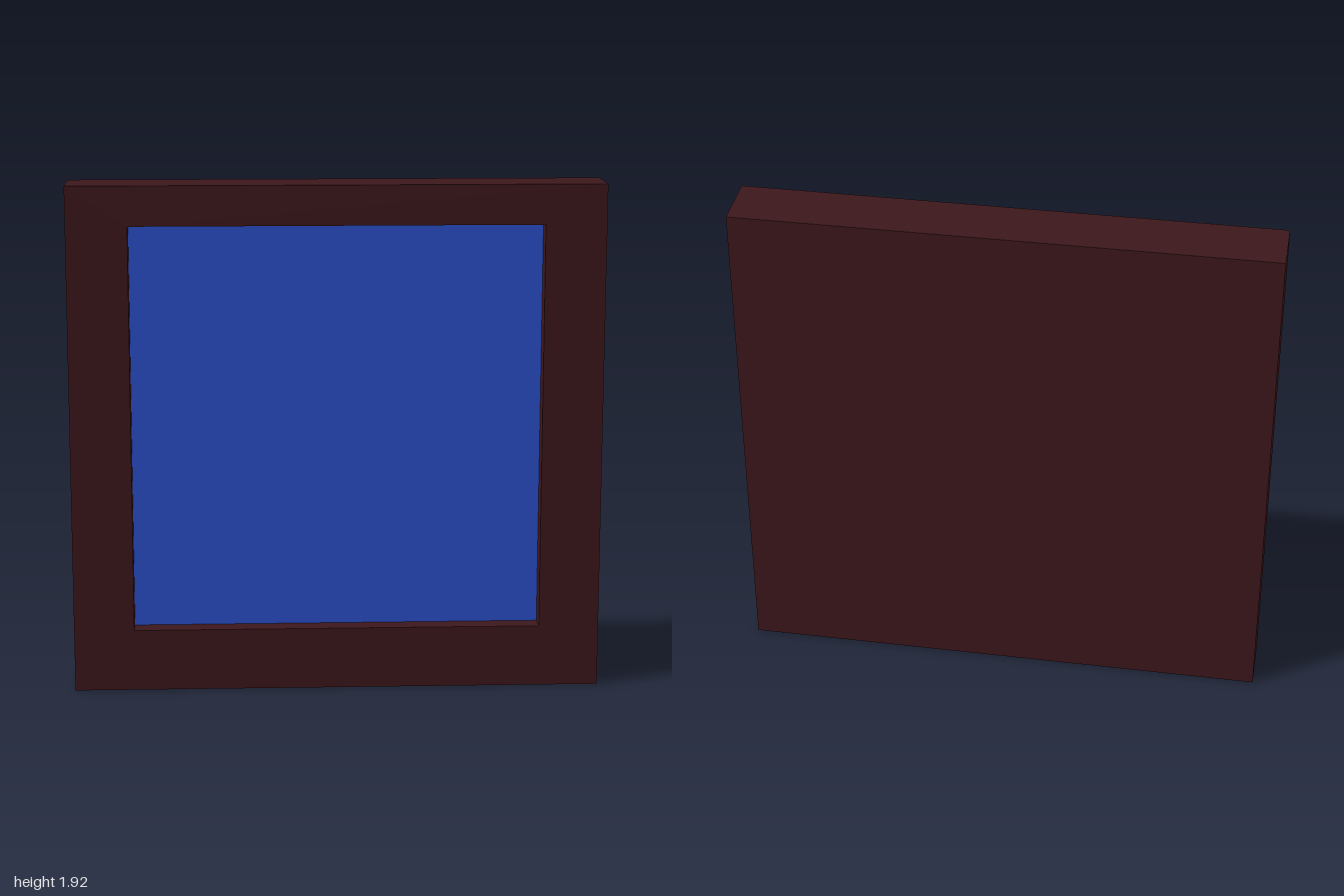
import * as THREE from 'three';

const WIDTH = 2, HEIGHT = 1.925, DEPTH = 0.23;
const OPEN = { x: 0.772, bottom: 0.235, top: 1.775 };
const PANEL_Z = 0.04; // front face of the recessed panel

export function createModel() {
  const model = new THREE.Group();
  const wood = new THREE.MeshStandardMaterial({ color: 0x3d171b });
  const blue = new THREE.MeshStandardMaterial({ color: 0x2b50cc });

  function add(name, geometry, material, x, y, z) {
    const mesh = new THREE.Mesh(geometry, material);
    mesh.name = name;
    mesh.position.set(x, y, z);
    model.add(mesh);
  }

  function rectangle(PathType, x, bottom, top) {
    return new PathType([
      new THREE.Vector2(-x, bottom), new THREE.Vector2(x, bottom),
      new THREE.Vector2(x, top), new THREE.Vector2(-x, top),
    ]);
  }

  // Front border with the rectangular opening
  const border = rectangle(THREE.Shape, WIDTH / 2, 0, HEIGHT);
  border.holes.push(rectangle(THREE.Path, OPEN.x, OPEN.bottom, OPEN.top));
  const seamZ = PANEL_Z - 0.01;
  add('frame', new THREE.ExtrudeGeometry(border, { depth: DEPTH / 2 - seamZ, bevelEnabled: false }),
    wood, 0, 0, seamZ);

  // Solid backing behind the border
  const backDepth = seamZ + DEPTH / 2;
  add('backing', new THREE.BoxGeometry(WIDTH, HEIGHT, backDepth),
    wood, 0, HEIGHT / 2, seamZ - backDepth / 2);

  // Recessed blue panel, set slightly into the backing
  add('panel', new THREE.BoxGeometry(OPEN.x * 2, OPEN.top - OPEN.bottom, 0.02),
    blue, 0, (OPEN.top + OPEN.bottom) / 2, PANEL_Z - 0.01);

  return model;
}
